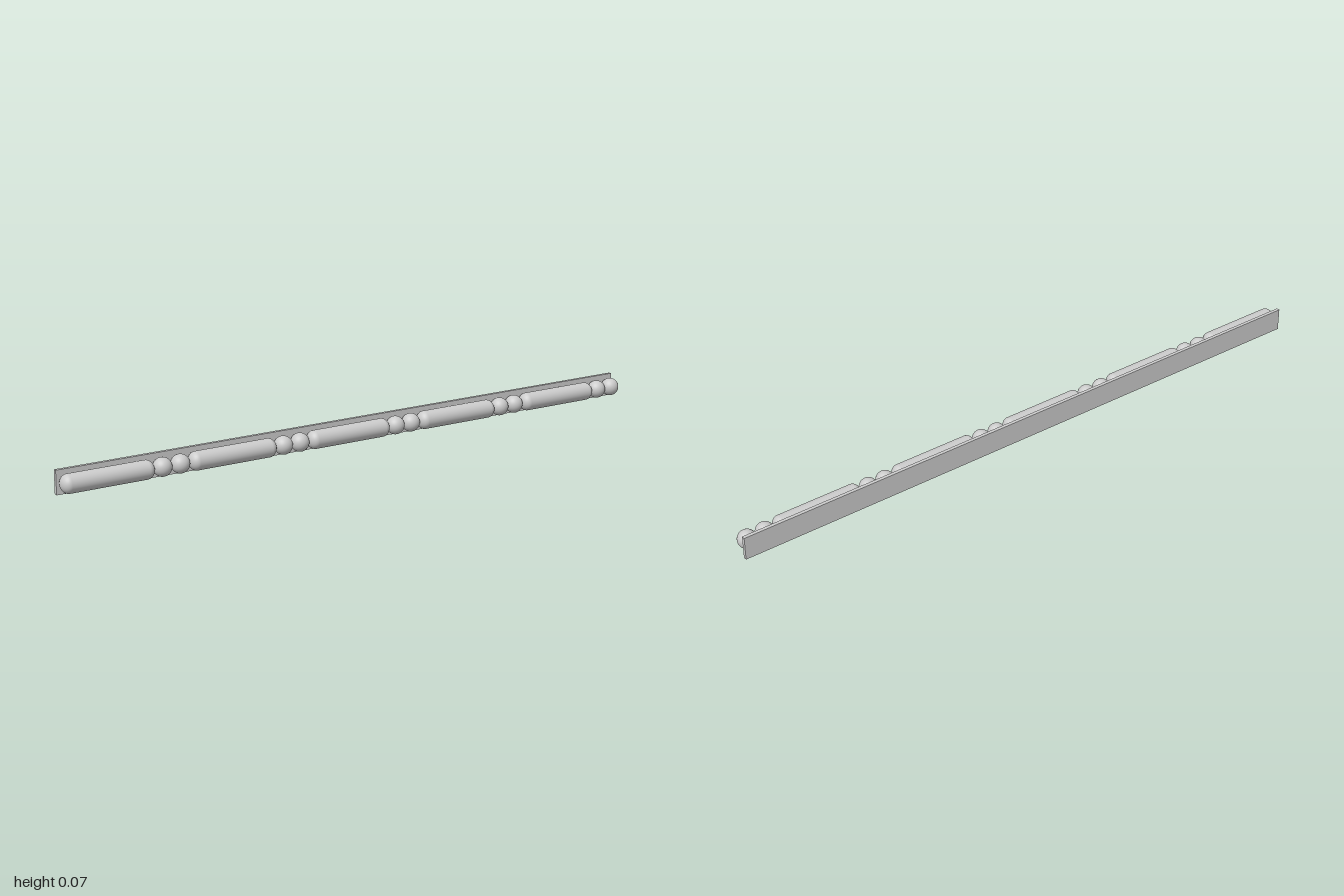
import * as THREE from 'three';

const PERIOD = 0.4, COUNT = 5, UNIT = PERIOD / 7;
const RADIUS = 0.028, CAP = 0.023;
const AXIS_Y = 0.0355, AXIS_Z = 0.0045;

export function createModel() {
  const group = new THREE.Group();
  group.name = 'beadMoulding';
  const material = new THREE.MeshStandardMaterial({ color: 0xcccccc });

  const add = (name, geometry, x, y, z) => {
    const mesh = new THREE.Mesh(geometry, material);
    mesh.name = name;
    mesh.position.set(x, y, z);
    group.add(mesh);
  };

  // Flat backing strip
  add('backingStrip', new THREE.BoxGeometry(2, 0.071, 0.011), 0, 0.0355, -0.027);

  // Long bead: straight rod with rounded ends, turned about x
  const half = 2.5 * UNIT;
  const profile = [];
  for (const side of [-1, 1]) {
    for (let i = 0; i <= 8; i++) {
      const a = (side < 0 ? i : 8 - i) / 8 * Math.PI / 2;
      profile.push(new THREE.Vector2(RADIUS * Math.sin(a), side * (half - CAP + CAP * Math.cos(a))));
    }
  }
  const rod = new THREE.LatheGeometry(profile, 32).rotateZ(Math.PI / 2);
  const ball = new THREE.SphereGeometry(RADIUS, 32, 20);

  // Repeat: one long bead followed by two round beads
  for (let i = 0; i < COUNT; i++) {
    const start = -1 + i * PERIOD;
    add('longBead', rod, start + half, AXIS_Y, AXIS_Z);
    for (const step of [5.5, 6.5]) {
      add('roundBead', ball, start + step * UNIT, AXIS_Y, AXIS_Z);
    }
  }
  return group;
}
